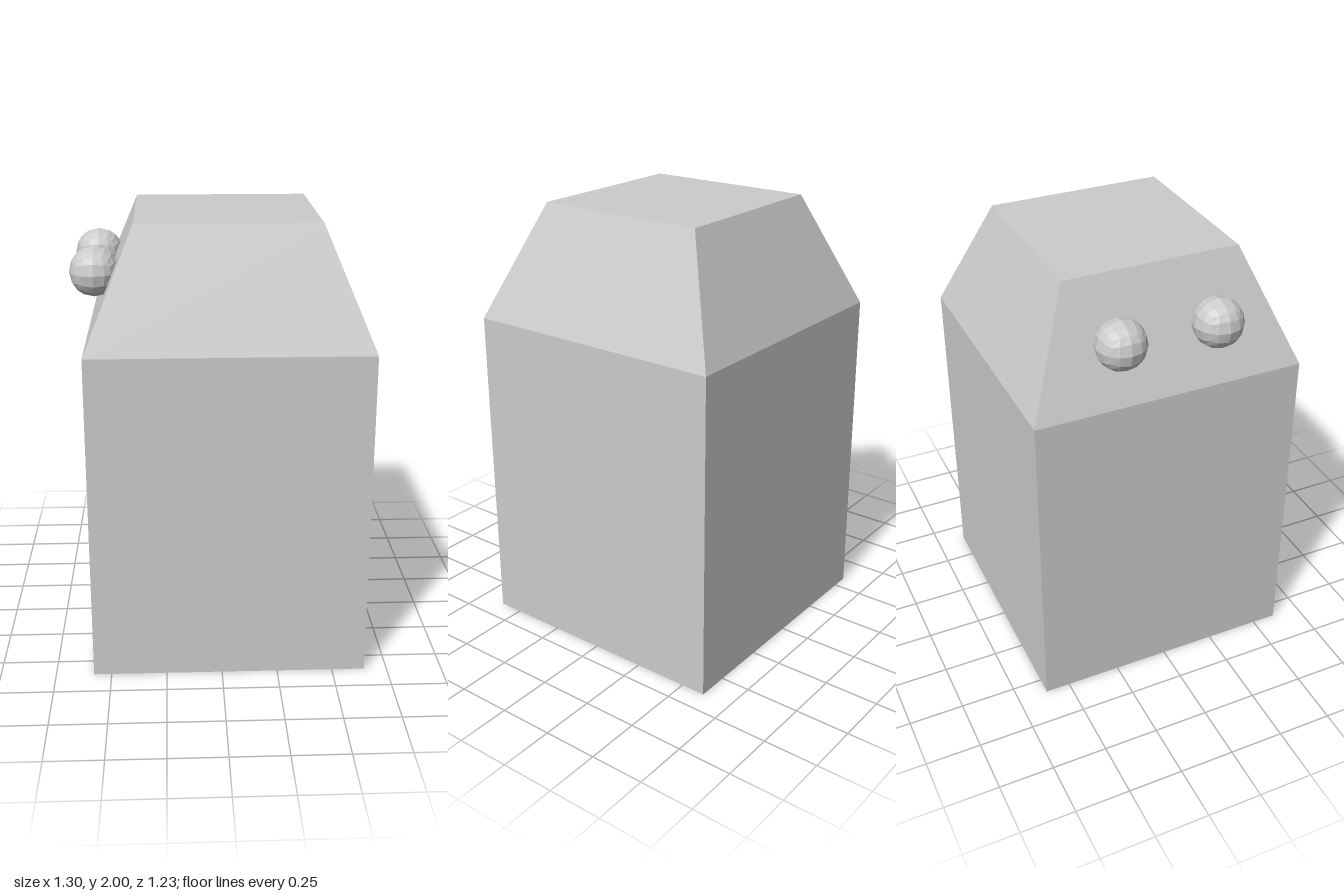
import * as THREE from 'three';

const material = new THREE.MeshStandardMaterial({ color: 0xcccccc, flatShading: true });

const WIDTH = 1.227, HEIGHT = 2, SHOULDER = 1.485, TOP_SCALE = 0.65;

function flat(geometry) {
  const g = geometry.toNonIndexed();
  g.computeVertexNormals();
  return g;
}

// Square block whose upper section tapers inward above the shoulder
function bodyGeometry() {
  const g = new THREE.BoxGeometry(WIDTH, HEIGHT, WIDTH, 1, 2, 1);
  const p = g.attributes.position;
  for (let i = 0; i < p.count; i++) {
    const y = p.getY(i);
    const s = y > 0.5 ? TOP_SCALE : 1;
    const newY = y > 0.5 ? HEIGHT : y < -0.5 ? 0 : SHOULDER;
    p.setXYZ(i, p.getX(i) * s, newY, p.getZ(i) * s);
  }
  return flat(g);
}

// Faceted ball made by inflating a subdivided cube
function ballGeometry(radius) {
  const g = new THREE.BoxGeometry(1, 1, 1, 4, 4, 4);
  const p = g.attributes.position;
  const v = new THREE.Vector3();
  for (let i = 0; i < p.count; i++) {
    v.fromBufferAttribute(p, i).setLength(radius);
    p.setXYZ(i, v.x, v.y, v.z);
  }
  return flat(g);
}

export function createModel() {
  const model = new THREE.Group();
  model.name = 'taperedBlockWithEyes';

  const body = new THREE.Mesh(bodyGeometry(), material);
  body.name = 'body';
  body.position.x = 0.034;
  model.add(body);

  // Pair of eyes set into the sloping face
  const eye = ballGeometry(0.11);
  for (const side of [-1, 1]) {
    const mesh = new THREE.Mesh(eye, material);
    mesh.name = side < 0 ? 'backEye' : 'frontEye';
    mesh.position.set(-0.54, 1.765, side * 0.219);
    model.add(mesh);
  }
  return model;
}
